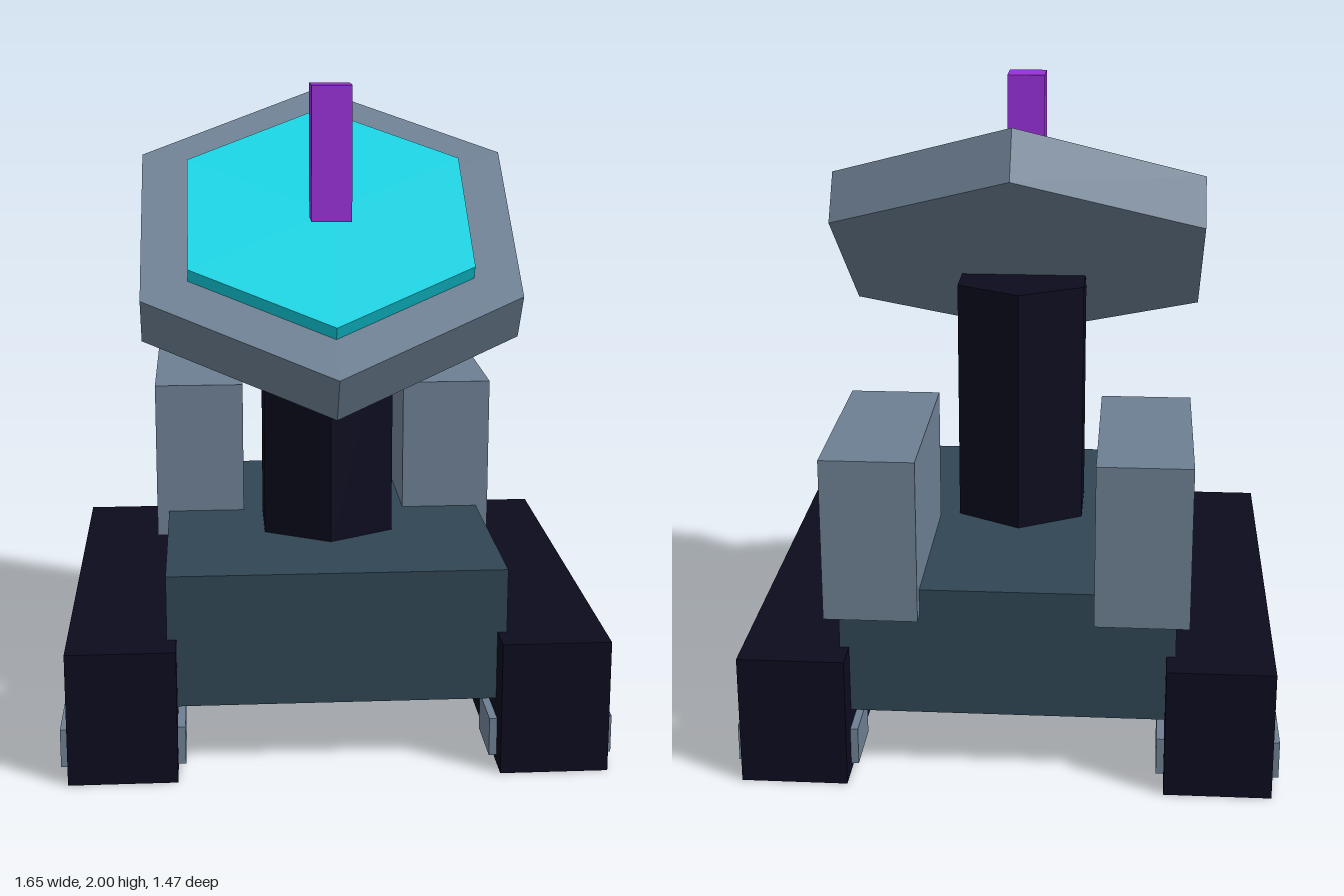
import * as THREE from 'three';

const paint = (name, color) => {
  const material = new THREE.MeshStandardMaterial({ color });
  material.name = name;
  return material;
};

export function createModel() {
  const navy = paint('dark navy', 0x0b0b1e);
  const slate = paint('slate grey', 0x6c7f92);
  const steel = paint('dark blue grey', 0x304554);
  const cyan = paint('cyan', 0x10d2e2);
  const purple = paint('purple', 0x9830d6);

  const model = new THREE.Group();
  model.name = 'trackedDishVehicle';

  const add = (parent, name, geometry, material, x, y, z) => {
    const mesh = new THREE.Mesh(geometry, material);
    mesh.name = name;
    mesh.position.set(x, y, z);
    parent.add(mesh);
    return mesh;
  };
  const box = (w, h, d) => new THREE.BoxGeometry(w, h, d);
  // Six-sided prism with flat faces and a corner towards +z
  const hexPrism = (radius, height) => {
    const geometry = new THREE.CylinderGeometry(radius, radius, height, 6).toNonIndexed();
    geometry.computeVertexNormals();
    return geometry;
  };

  // Hull
  add(model, 'hull', box(1.01, 0.405, 1.26), steel, 0, 0.3975, 0);

  // Tracks, wheel blocks and rear equipment boxes on both sides
  for (const [side, s] of [['left', 1], ['right', -1]]) {
    add(model, `${side}Track`, box(0.322, 0.405, 1.47), navy, s * 0.638, 0.2025, 0);
    for (const z of [-0.555, 0, 0.56]) {
      add(model, `${side}WheelBlock`, box(0.37, 0.117, 0.198), slate, s * 0.639, 0.083, z);
    }
    add(model, `${side}EquipmentBox`, box(0.282, 0.502, 0.652), slate, s * 0.402, 0.77, -0.354);
  }

  // Mast
  add(model, 'mast', hexPrism(0.231, 0.8), navy, 0, 0.975, 0.1);

  // Tilted dish with its raised face
  const dish = new THREE.Group();
  dish.name = 'dish';
  dish.position.set(0, 1.497, 0.102);
  dish.rotation.x = 0.606;
  model.add(dish);
  add(dish, 'dishRim', hexPrism(0.657, 0.169), slate, 0, 0, 0);
  add(dish, 'dishFace', hexPrism(0.494, 0.06), cyan, 0, 0.102, 0);

  // Emitter floating over the dish
  add(model, 'emitter', box(0.12, 0.4, 0.12), purple, 0, 1.8, 0.303);

  return model;
}
